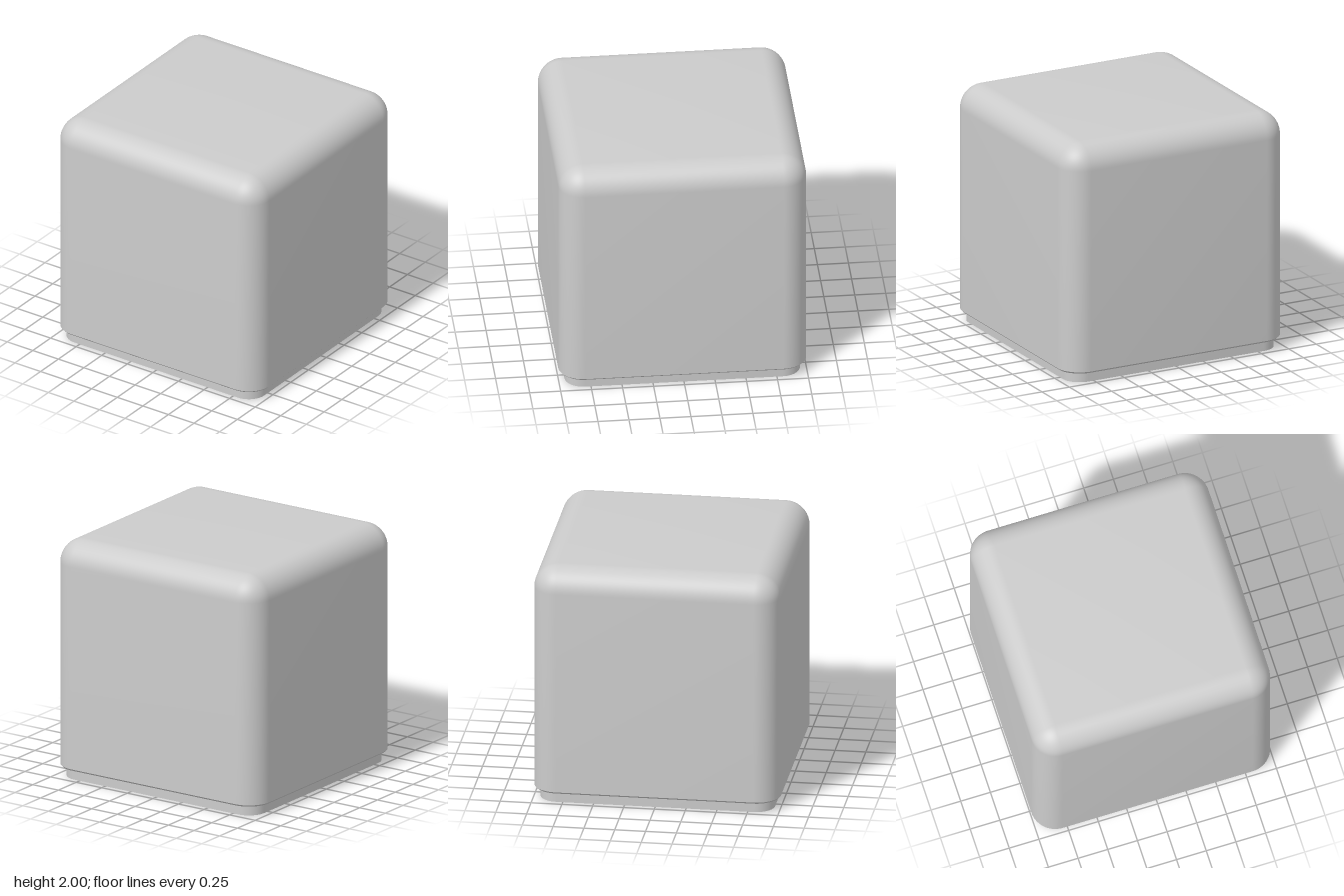
import * as THREE from 'three';
import { toCreasedNormals } from 'three/addons/utils/BufferGeometryUtils.js';

const STEPS = 14; // segments per rounded corner

// Ring of a rounded square; half === radius makes a circle.
function ring([half, radius, y]) {
  const points = [];
  for (let q = 0; q < 4; q++) {
    const mid = (q + 0.5) * Math.PI / 2;
    const cx = Math.sign(Math.cos(mid)) * (half - radius);
    const cz = Math.sign(Math.sin(mid)) * (half - radius);
    for (let i = 0; i <= STEPS; i++) {
      const a = (q + i / STEPS) * Math.PI / 2;
      points.push(new THREE.Vector3(cx + radius * Math.cos(a), y, cz + radius * Math.sin(a)));
    }
  }
  return points;
}

// Skins consecutive rings, leaving out collapsed triangles.
function loft(sections) {
  const rings = sections.map(ring);
  const positions = [];
  const add = (a, b, c) => {
    const area = b.clone().sub(a).cross(c.clone().sub(a)).length();
    if (area > 1e-9) for (const p of [a, b, c]) positions.push(p.x, p.y, p.z);
  };
  for (let i = 0; i < rings.length - 1; i++) {
    const low = rings[i], high = rings[i + 1], n = low.length;
    for (let j = 0; j < n; j++) {
      const k = (j + 1) % n;
      add(low[j], high[j], low[k]);
      add(high[j], high[k], low[k]);
    }
  }
  const geometry = new THREE.BufferGeometry();
  geometry.setAttribute('position', new THREE.Float32BufferAttribute(positions, 3));
  return toCreasedNormals(geometry, 0.5);
}

export function createModel() {
  const group = new THREE.Group();
  const material = new THREE.MeshStandardMaterial({ color: 0xcccccc });
  const addPart = (name, sections) => {
    const mesh = new THREE.Mesh(loft(sections), material);
    mesh.name = name;
    group.add(mesh);
  };

  // Hollow cover: cavity, chamfered rim, outer wall, then the rounded top
  const r = 0.2;
  const cover = [
    [0, 0, 1.9], [0.95, 0.15, 1.9], [0.95, 0.15, 0.085],
    [0.985, 0.185, 0.085], [1, r, 0.1],
  ];
  for (let i = 0; i <= STEPS; i++) {
    const a = (i / STEPS) * Math.PI / 2;
    const inset = r * (1 - Math.cos(a));
    cover.push([1 - inset, r - inset, 2 - r + r * Math.sin(a)]);
  }
  cover.push([0, 0, 2]);
  addPart('cover', cover);

  // Base plate with a counterbored centre hole
  addPart('basePlate', [
    [0.95, 0.15, 0], [0.95, 0.15, 0.26], [0.16, 0.16, 0.26],
    [0.16, 0.16, 0.12], [0.25, 0.25, 0.12], [0.25, 0.25, 0], [0.95, 0.15, 0],
  ]);

  return group;
}
